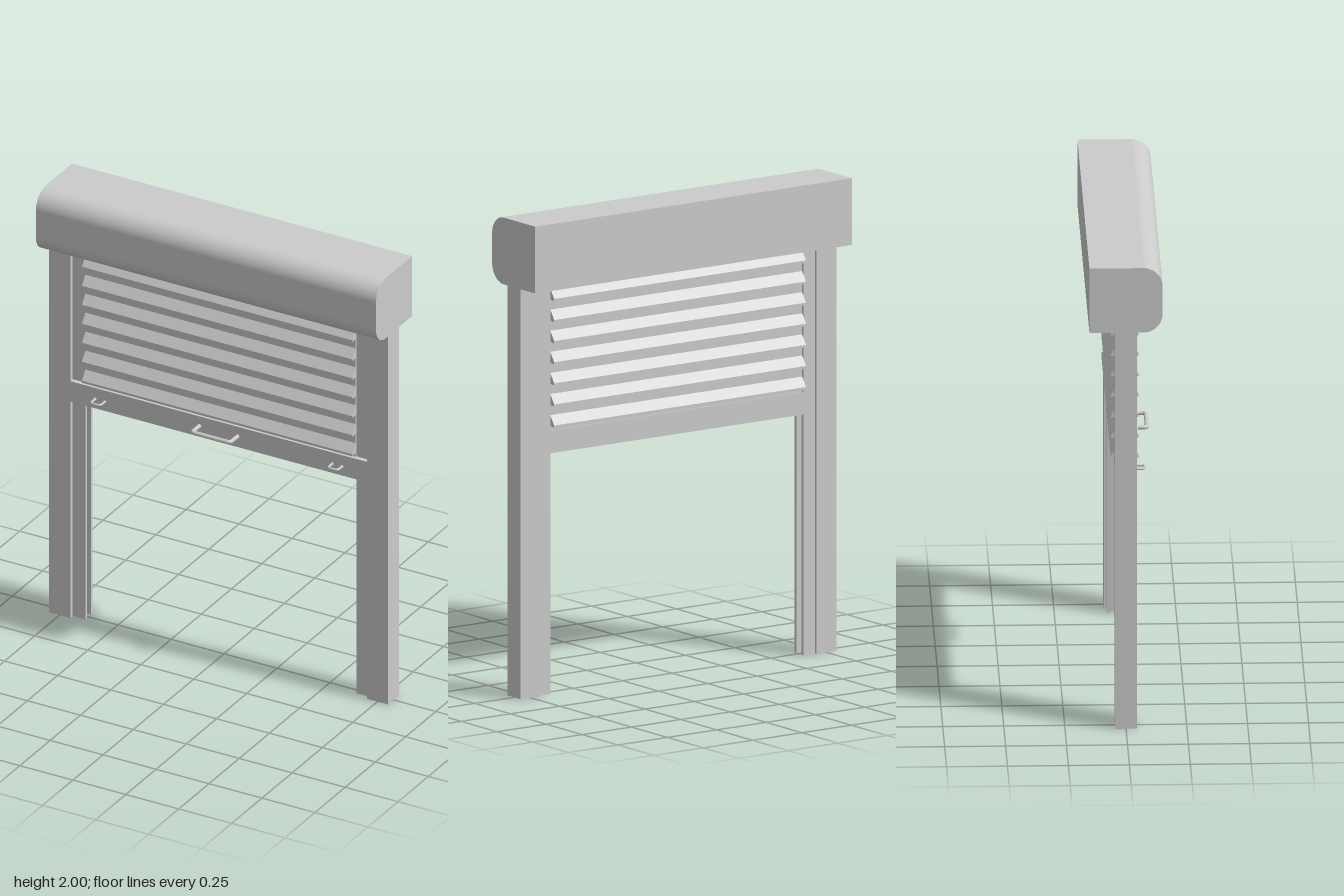
import * as THREE from 'three';

export function createModel() {
  const root = new THREE.Group();
  root.name = 'rollerShutter';
  const mat = new THREE.MeshStandardMaterial({ color: 0xcccccc });

  function add(geo, name, x = 0, y = 0, z = 0, parent = root) {
    const mesh = new THREE.Mesh(geo, mat);
    mesh.name = name;
    mesh.position.set(x, y, z);
    parent.add(mesh);
    return mesh;
  }

  // Extrudes a (z, y) outline along x, centred on x = 0.
  function extrudeAlongX(shape, length) {
    const geo = new THREE.ExtrudeGeometry(shape, { depth: length, bevelEnabled: false, curveSegments: 16 });
    geo.translate(0, 0, -length / 2);
    geo.rotateY(-Math.PI / 2); // shape x -> +z
    return geo;
  }

  // Box housing with rounded front edges
  const r = 0.08;
  const box = new THREE.Shape();
  box.moveTo(-0.15, 1.72);
  box.lineTo(0.15 - r, 1.72);
  box.absarc(0.15 - r, 1.72 + r, r, -Math.PI / 2, 0, false);
  box.lineTo(0.15, 2 - r);
  box.absarc(0.15 - r, 2 - r, r, 0, Math.PI / 2, false);
  box.lineTo(-0.15, 2);
  box.closePath();
  add(extrudeAlongX(box, 1.605), 'housing');

  // Side posts with a slotted guide channel on the inner side
  const height = 1.72;
  for (const s of [1, -1]) {
    const post = new THREE.Group();
    post.name = s > 0 ? 'leftPost' : 'rightPost';
    root.add(post);
    add(new THREE.BoxGeometry(0.1, height, 0.09), 'postBody', s * 0.75, height / 2, 0, post);
    add(new THREE.BoxGeometry(0.03, height, 0.06), 'guideBase', s * 0.685, height / 2, -0.005, post);
    for (const z of [0.019, -0.029])
      add(new THREE.BoxGeometry(0.03, height, 0.012), 'guideLip', s * 0.655, height / 2, z, post);
  }

  // Curtain of slats, each with a sloping drip edge front and back
  const pitch = 0.0885;
  const half = [[0.029, -0.058], [0.029, -0.006], [0.057, -0.01], [0.057, 0], [0.029, 0.039]];
  const outline = [...half, ...half.slice().reverse().map(([z, y]) => [-z, y])];
  const slat = new THREE.Shape(outline.map(([z, y]) => new THREE.Vector2(z, y)));
  const slatGeo = extrudeAlongX(slat, 1.276);
  for (let i = 0; i < 7; i++) add(slatGeo, 'slat', 0, 1.66 - i * pitch, 0);
  add(new THREE.BoxGeometry(1.276, 0.03, 0.058), 'curtainTop', 0, 1.71, 0);

  // Bottom rail, wider at the front where it overlaps the guides
  add(new THREE.BoxGeometry(1.28, 0.095, 0.06), 'bottomRail', 0, 1.057, -0.005);
  add(new THREE.BoxGeometry(1.4, 0.095, 0.02), 'railFace', 0, 1.057, 0.035);

  // Bent rod pull, lying flat and sticking out to the front
  function pull(width, reach, radius, name, x, y) {
    const w = width / 2, c = Math.min(0.015, w * 0.6), path = new THREE.CurvePath();
    const p = (px, pz) => new THREE.Vector3(px, 0, pz);
    path.add(new THREE.LineCurve3(p(-w, 0), p(-w, reach - c)));
    path.add(new THREE.QuadraticBezierCurve3(p(-w, reach - c), p(-w, reach), p(-w + c, reach)));
    path.add(new THREE.LineCurve3(p(-w + c, reach), p(w - c, reach)));
    path.add(new THREE.QuadraticBezierCurve3(p(w - c, reach), p(w, reach), p(w, reach - c)));
    path.add(new THREE.LineCurve3(p(w, reach - c), p(w, 0)));
    add(new THREE.TubeGeometry(path, 60, radius, 10), name, x, y, 0.044);
  }
  pull(0.18, 0.064, 0.009, 'handle', 0, 1.06);
  for (const s of [1, -1]) {
    pull(0.046, 0.04, 0.005, 'latch', s * 0.56, 1.052);
    for (const e of [1, -1])
      add(new THREE.SphereGeometry(0.007, 12, 8), 'latchFoot', s * 0.56 + e * 0.023, 1.052, 0.046);
  }

  return root;
}
